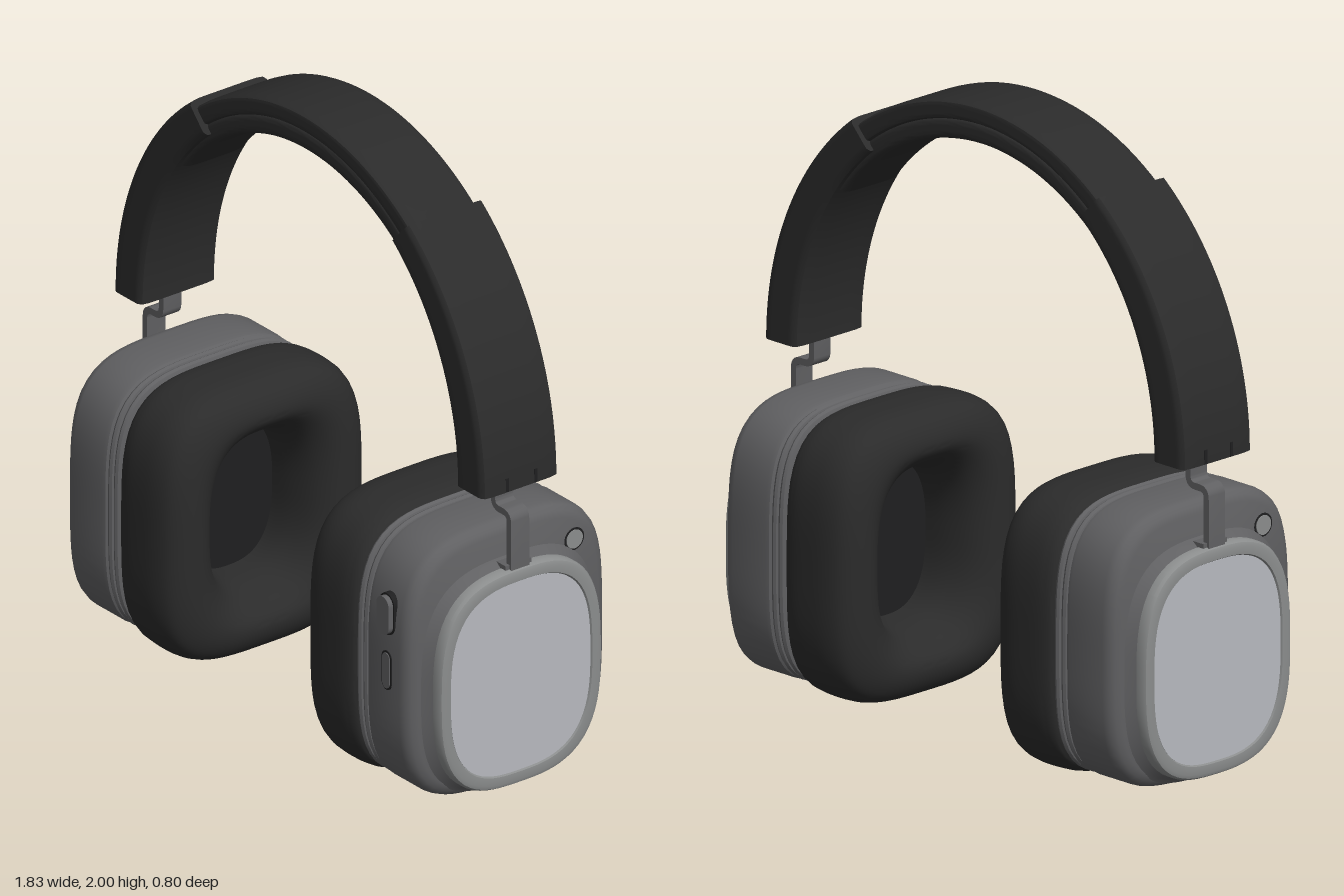
import * as THREE from 'three';
import { toCreasedNormals } from 'three/addons/utils/BufferGeometryUtils.js';

const paint = (name, color) => {
  const m = new THREE.MeshStandardMaterial({ color });
  m.name = name;
  return m;
};

// Unit superellipse point at angle t; higher n means squarer
function squircle(t, n) {
  const c = Math.cos(t), s = Math.sin(t);
  const r = Math.pow(Math.abs(c) ** n + Math.abs(s) ** n, -1 / n);
  return [c * r, s * r];
}

// Skin a list of closed sections, each an array of [x, y, z]
function skin(sections, capped, crease) {
  const pos = [], idx = [], n = sections[0].length;
  const centre = (s) => s.map(() => [0, 1, 2].map((k) => s.reduce((a, p) => a + p[k], 0) / n));
  const all = capped
    ? [centre(sections[0]), ...sections, centre(sections[sections.length - 1])]
    : sections;
  all.forEach((s) => s.forEach((p) => pos.push(...p)));
  for (let i = 0; i < all.length - 1; i++) {
    for (let j = 0; j < n; j++) {
      const a = i * n + j, b = i * n + (j + 1) % n;
      idx.push(a, a + n, b, b, a + n, b + n);
    }
  }
  const g = new THREE.BufferGeometry();
  g.setAttribute('position', new THREE.Float32BufferAttribute(pos, 3));
  g.setIndex(idx);
  return toCreasedNormals(g, crease);
}

// Rounded-square solid along x from a profile of [x, halfDepth, halfHeight]
function cupSolid(profile, cy, n, capped = true, crease = 0.6) {
  const N = 80;
  return skin(profile.map(([x, hz, hy]) => Array.from({ length: N }, (_, j) => {
    const [c, s] = squircle(j / N * Math.PI * 2, typeof n === 'function' ? n(hz) : n);
    return [x, cy + s * hy, c * hz];
  })), capped, crease);
}

// Padded strip between two ellipses around the head, from angle t0 to t1
function archStrip([ao, bo], [ai, bi], hz, t0, t1, n) {
  const N = 48, steps = 40, sections = [];
  for (let i = 0; i <= steps; i++) {
    const t = t0 + (t1 - t0) * i / steps;
    sections.push(Array.from({ length: N }, (_, j) => {
      const [w, u] = squircle(j / N * Math.PI * 2, n);
      const k = (u + 1) / 2;
      return [(ai + (ao - ai) * k) * Math.sin(t), 1.05 + (bi + (bo - bi) * k) * Math.cos(t), w * hz];
    }));
  }
  return skin(sections, true, 0.7);
}

// Upright pill-shaped plate, extruded along z
function pill(w, h, depth) {
  const r = w / 2, k = h / 2 - r, s = new THREE.Shape();
  s.absarc(0, k, r, 0, Math.PI, false);
  s.absarc(0, -k, r, Math.PI, Math.PI * 2, false);
  s.closePath();
  return new THREE.ExtrudeGeometry(s, { depth, bevelEnabled: false, curveSegments: 12 });
}

// Flat bent metal strap joining the headband to the cup
function strapGeometry() {
  const path = new THREE.CurvePath();
  const v = (x, y) => new THREE.Vector2(x, y);
  path.add(new THREE.LineCurve(v(0.815, 1.08), v(0.815, 0.99)));
  path.add(new THREE.QuadraticBezierCurve(v(0.815, 0.99), v(0.815, 0.96), v(0.845, 0.96)));
  path.add(new THREE.LineCurve(v(0.845, 0.96), v(0.865, 0.96)));
  path.add(new THREE.QuadraticBezierCurve(v(0.865, 0.96), v(0.894, 0.96), v(0.894, 0.93)));
  path.add(new THREE.LineCurve(v(0.894, 0.93), v(0.894, 0.74)));
  const pts = path.getPoints(8), left = [], right = [];
  pts.forEach((p, i) => {
    const d = pts[Math.min(i + 1, pts.length - 1)].clone().sub(pts[Math.max(i - 1, 0)]).normalize();
    left.push(v(p.x - d.y * 0.011, p.y + d.x * 0.011));
    right.unshift(v(p.x + d.y * 0.011, p.y - d.x * 0.011));
  });
  const g = new THREE.ExtrudeGeometry(new THREE.Shape([...left, ...right]), { depth: 0.07, bevelEnabled: false });
  return toCreasedNormals(g.translate(0, 0, -0.035), 0.6);
}

export function createModel() {
  const black = paint('soft black', 0x2b2b2b);
  const deep = paint('deep black', 0x1f1f20);
  const grey = paint('graphite grey', 0x606062);
  const rimGrey = paint('rim grey', 0x8b8d8d);
  const silver = paint('silver', 0xb7b9bf);

  const model = new THREE.Group();
  model.name = 'headphones';
  const add = (parent, name, geo, mat, x = 0, y = 0, z = 0) => {
    const m = new THREE.Mesh(geo, mat);
    m.name = name;
    m.position.set(x, y, z);
    parent.add(m);
    return m;
  };

  // Headband: outer layer and the cushion beneath it
  add(model, 'headbandOuter', archStrip([0.9, 0.95], [0.82, 0.887], 0.13, -0.9, 0.9, 8), black);
  add(model, 'headbandCushion', archStrip([0.835, 0.897], [0.775, 0.82], 0.124, -0.87, 0.87, 5), black);

  // Ear cushion: smooth loop from inside the hole, over the face, to the back
  const padCurve = new THREE.CatmullRomCurve3([
    [0.56, 0.17, 0.24], [0.45, 0.175, 0.25], [0.37, 0.2, 0.28], [0.325, 0.24, 0.315],
    [0.308, 0.285, 0.35], [0.317, 0.335, 0.398], [0.35, 0.375, 0.44], [0.4, 0.392, 0.457],
    [0.47, 0.396, 0.46], [0.54, 0.392, 0.455], [0.573, 0.38, 0.443], [0.588, 0.355, 0.418],
  ].map((p) => new THREE.Vector3(...p)));
  const padGeo = cupSolid(padCurve.getPoints(44).map((p) => p.toArray()), 0.46,
    (hz) => 2.6 + 1.1 * Math.min(1, Math.max(0, (hz - 0.17) / 0.2)), false, 1.2);

  // Each side is the other turned half way round
  for (const [label, turn] of [['left', 0], ['right', Math.PI]]) {
    const side = new THREE.Group();
    side.name = label + 'Side';
    side.rotation.y = turn;
    model.add(side);

    // Sleeve over the headband end
    add(side, 'sleeve', archStrip([0.912, 0.975], [0.77, 0.865], 0.148, 0.63, Math.PI / 2, 10), black);
    for (const z of [-0.055, 0.055]) {
      add(side, 'sleeveNotch', new THREE.BoxGeometry(0.006, 0.045, 0.012), deep, 0.91, 1.074, z);
    }
    add(side, 'strap', strapGeometry(), grey);
    add(side, 'strapFoot', new THREE.BoxGeometry(0.05, 0.03, 0.1), grey, 0.872, 0.775, 0);

    // Ear cushion and the driver cover inside it
    add(side, 'earCushion', padGeo, black);
    add(side, 'driverCover', cupSolid([[0.53, 0.2, 0.28], [0.56, 0.2, 0.28]], 0.46, 2.6), deep);

    // Two ridges between cushion and shell
    for (const x of [0.585, 0.613]) {
      add(side, 'ridge', cupSolid([
        [x, 0.37, 0.43], [x + 0.005, 0.381, 0.441], [x + 0.014, 0.385, 0.446],
        [x + 0.023, 0.381, 0.441], [x + 0.028, 0.37, 0.43],
      ], 0.464, 3.7), grey);
    }

    // Cup shell with rounded outer edge
    add(side, 'shell', cupSolid([
      [0.638, 0.375, 0.435], [0.646, 0.384, 0.444], [0.66, 0.387, 0.447], [0.8, 0.387, 0.447],
      [0.822, 0.382, 0.442], [0.838, 0.369, 0.428], [0.846, 0.35, 0.408],
    ], 0.464, 3.7), grey);
    add(side, 'pedestal', cupSolid([
      [0.84, 0.345, 0.39], [0.852, 0.33, 0.376], [0.872, 0.312, 0.36], [0.88, 0.305, 0.352],
    ], 0.414, 3), grey);

    // Raised rim, open in the middle, with the silver plate set in it
    add(side, 'rim', cupSolid([
      [0.868, 0.26, 0.31], [0.868, 0.306, 0.358], [0.874, 0.314, 0.366], [0.9, 0.314, 0.366],
      [0.91, 0.308, 0.36], [0.914, 0.297, 0.349], [0.912, 0.274, 0.324], [0.902, 0.268, 0.318],
      [0.868, 0.26, 0.31],
    ], 0.41, 2.9, false), rimGrey);
    add(side, 'facePlate', cupSolid([[0.9, 0.27, 0.32], [0.907, 0.27, 0.32]], 0.41, 2.9), silver);

    // Round microphone dot on the outer face
    const dot = add(side, 'dotSocket', new THREE.CylinderGeometry(0.038, 0.038, 0.012, 28), deep, 0.841, 0.77, -0.255);
    dot.rotation.z = Math.PI / 2;
    const cap = add(side, 'dot', new THREE.CylinderGeometry(0.031, 0.031, 0.012, 28), rimGrey, 0.844, 0.77, -0.255);
    cap.rotation.z = Math.PI / 2;
  }

  // Controls on the left cup
  add(model, 'upperButtonSeat', pill(0.072, 0.14, 0.04), deep, 0.742, 0.673, 0.348);
  add(model, 'upperButton', pill(0.06, 0.128, 0.045), grey, 0.742, 0.673, 0.36);
  add(model, 'lowerButtonSeat', pill(0.046, 0.132, 0.04), deep, 0.742, 0.482, 0.35);
  add(model, 'lowerButton', pill(0.034, 0.12, 0.036), grey, 0.742, 0.482, 0.357);
  add(model, 'chargingPort', pill(0.03, 0.085, 0.008), deep, 0.745, 0.023, 0).rotation.x = Math.PI / 2;

  return model;
}
